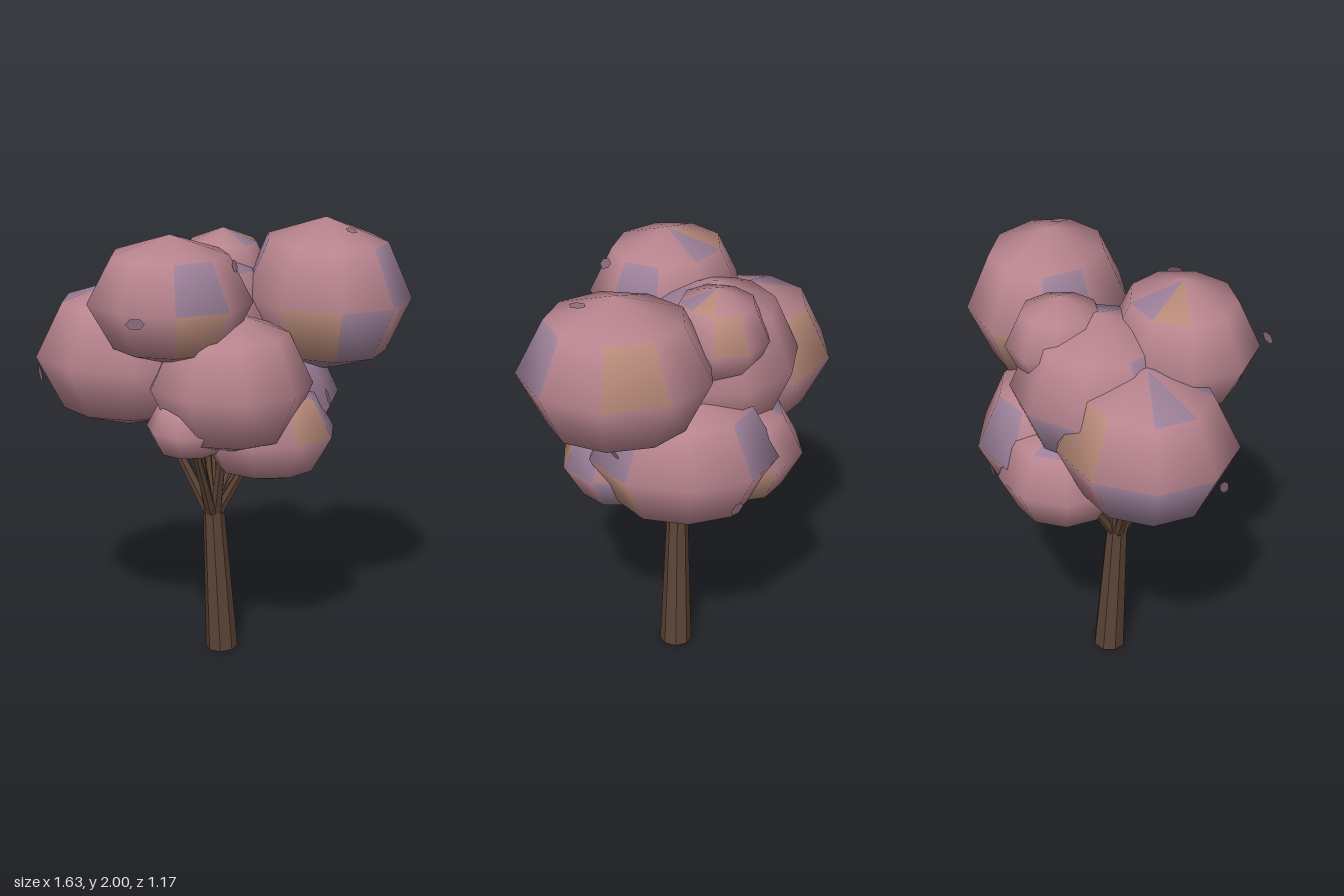
import * as THREE from 'three';
import { mergeVertices } from 'three/addons/utils/BufferGeometryUtils.js';

const V = (x, y, z) => new THREE.Vector3(x, y, z);
const paint = (color, extra) => new THREE.MeshStandardMaterial({ color, roughness: 0.9, ...extra });

function seeded(seed) {
  let s = seed * 7919 + 17;
  return () => (s = (s * 16807) % 2147483647) / 2147483647;
}

// Faceted leaf clump: a coarse sphere with slight bumps and a few tinted patches
function clump(center, radii, yaw, turn, seed, leafMats) {
  const SEG = 9, RINGS = 4;
  let geo = new THREE.SphereGeometry(1, SEG, RINGS);
  geo.deleteAttribute('uv');
  geo.deleteAttribute('normal');
  geo = mergeVertices(geo, 1e-4);
  const rand = seeded(seed);
  for (let i = 0; i < 5; i++) rand();
  const pos = geo.attributes.position;
  for (let i = 0; i < pos.count; i++) {
    const p = V(0, 0, 0).fromBufferAttribute(pos, i);
    p.applyAxisAngle(V(0, 1, 0), turn);
    const bump = 1.015 + rand() * 0.03;
    pos.setXYZ(i, p.x * radii[0] * bump, p.y * radii[1], p.z * radii[2] * bump);
  }
  geo.rotateY(yaw);
  geo.computeVertexNormals();
  // One group per facet, each given the base leaf colour or a tint
  let start = 0;
  for (let ring = 0; ring < RINGS; ring++) {
    for (let s = 0; s < SEG; s++) {
      const count = ring === 0 || ring === RINGS - 1 ? 3 : 6;
      const r = rand();
      geo.addGroup(start, count, r < 0.12 ? 1 : r < 0.19 ? 2 : 0);
      start += count;
    }
  }
  const mesh = new THREE.Mesh(geo, leafMats);
  mesh.position.set(...center);
  return mesh;
}

// Tapered limb between two points
function limb(from, to, r0, r1, sides, mat) {
  const dir = to.clone().sub(from);
  const geo = new THREE.CylinderGeometry(r1, r0, dir.length(), sides);
  const mesh = new THREE.Mesh(geo, mat);
  mesh.position.copy(from).addScaledVector(dir, 0.5);
  mesh.quaternion.setFromUnitVectors(V(0, 1, 0), dir.normalize());
  return mesh;
}

export function createModel() {
  const tree = new THREE.Group();
  tree.name = 'tree';
  const bark = paint(0x5c4436, { flatShading: true });
  const leafMats = [paint(0xb9858f), paint(0x9d819a), paint(0xb98b7a)];
  const leaf = paint(0x8f6c7c, { side: THREE.DoubleSide });

  // Leaf clumps: centre, radii, yaw of the oval, turn of the facets
  const DIAG = -Math.PI / 4;
  const clumps = [
    ['upperFrontClump', [-0.21, 1.7, 0.22], [0.345, 0.28, 0.31], 0, 0.35],
    ['upperLeftClump', [0.43, 1.66, -0.13], [0.4, 0.34, 0.335], DIAG, 0.4],
    ['rightClump', [-0.43, 1.4, -0.04], [0.4, 0.335, 0.37], 0, 0.35],
    ['frontClump', [0.04, 1.33, 0.17], [0.35, 0.315, 0.34], 0, 0.44],
    ['lowerLeftClump', [0.19, 1.09, 0.07], [0.3, 0.23, 0.26], 0, 0],
    ['backLeftClump', [0.125, 1.19, -0.22], [0.4, 0.32, 0.33], DIAG, 0.58],
    ['lowerBackClump', [-0.13, 1.14, -0.29], [0.28, 0.24, 0.28], 0, 0.35],
    ['centreClump', [-0.14, 1.52, -0.13], [0.37, 0.35, 0.37], 0, 0.1],
    ['crownClump', [-0.03, 1.71, -0.26], [0.21, 0.21, 0.225], 0, 0.3],
    ['lowerFrontClump', [-0.13, 1.15, 0.24], [0.18, 0.145, 0.19], 0, 0],
  ];
  const foliage = new THREE.Group();
  foliage.name = 'foliage';
  clumps.forEach(([name, c, r, yaw, turn], i) => {
    const mesh = clump(c, r, yaw, turn, i + 3, leafMats);
    mesh.name = name;
    foliage.add(mesh);
  });
  tree.add(foliage);

  // Trunk, leaning slightly
  const fork = V(-0.05, 0.7, -0.007);
  const trunk = limb(V(-0.015, 0.004, -0.032), fork, 0.073, 0.048, 8, bark);
  trunk.name = 'trunk';
  tree.add(trunk);

  // Branches fan out from the fork into every clump
  const branches = new THREE.Group();
  branches.name = 'branches';
  for (const [, c] of clumps) {
    const end = V(...c);
    const out = V(end.x - fork.x, 0, end.z - fork.z).normalize().multiplyScalar(0.025);
    const start = fork.clone().add(out).add(V(0, -0.02, 0));
    const branch = limb(start, end, 0.026, 0.016, 6, bark);
    branch.name = 'branch';
    branches.add(branch);
  }
  tree.add(branches);

  // Loose leaves: position, facing direction
  const leaves = [
    [V(-0.31, 1.68, 0.57), V(0.1, 0, 1)],
    [V(0.07, 1.87, 0.31), V(0.9, 0.4, 0.2)],
    [V(0.54, 1.96, -0.03), V(0.15, 1, 0.1)],
    [V(0.12, 1.03, -0.53), V(0.4, -0.3, -1)],
    [V(0.46, 1.27, 0.15), V(1, 0.3, 0.2)],
    [V(0.52, 1.34, -0.2), V(1, -0.4, 0)],
    [V(-0.79, 1.34, 0.14), V(-1, 0, 0.5)],
  ];
  leaves.forEach(([p, n], i) => {
    const mesh = new THREE.Mesh(new THREE.CircleGeometry(0.04, 6), leaf);
    mesh.name = 'looseLeaf';
    mesh.scale.set(1, 0.6, 1);
    mesh.position.copy(p);
    mesh.lookAt(p.clone().add(n));
    mesh.rotateZ(i * 0.4);
    tree.add(mesh);
  });
  return tree;
}
